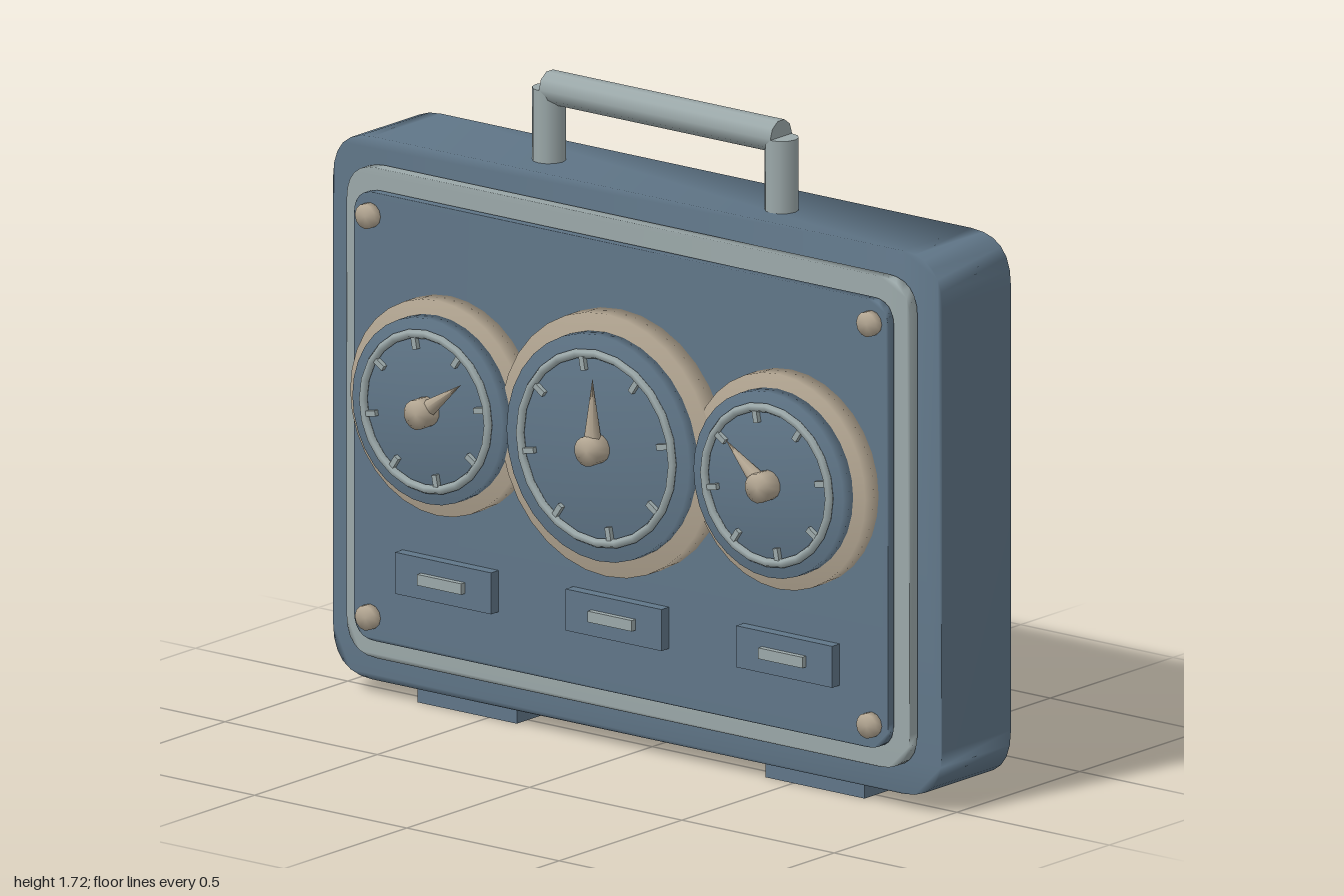
import * as THREE from 'three';
import { mergeVertices } from 'three/addons/utils/BufferGeometryUtils.js';

const material = (name, color) => {
  const m = new THREE.MeshStandardMaterial({ color });
  m.name = name;
  return m;
};

// Weld shared corners so shading rolls softly over the edges
function soften(geometry) {
  geometry.deleteAttribute('normal');
  geometry.deleteAttribute('uv');
  const welded = mergeVertices(geometry, 1e-4);
  welded.computeVertexNormals();
  return welded;
}

// Rounded slab spanning x +-w/2, y0..y1 and z0..z1
function slab(w, y0, y1, z0, z1, r) {
  const s = new THREE.Shape(), x = w / 2;
  s.moveTo(-x + r, y0);
  s.lineTo(x - r, y0);
  s.quadraticCurveTo(x, y0, x, y0 + r);
  s.lineTo(x, y1 - r);
  s.quadraticCurveTo(x, y1, x - r, y1);
  s.lineTo(-x + r, y1);
  s.quadraticCurveTo(-x, y1, -x, y1 - r);
  s.lineTo(-x, y0 + r);
  s.quadraticCurveTo(-x, y0, -x + r, y0);
  const g = new THREE.ExtrudeGeometry(s, { depth: z1 - z0, bevelEnabled: false, curveSegments: 6 });
  return soften(g.translate(0, 0, z0));
}

// Disc facing +z between z0 and z1
function disc(r, z0, z1, sides) {
  const g = new THREE.CylinderGeometry(r, r, z1 - z0, sides).rotateX(Math.PI / 2);
  return soften(g.translate(0, 0, (z0 + z1) / 2));
}

export function createModel() {
  const model = new THREE.Group();
  model.name = 'gaugeCase';
  const blue = material('slateBlue', 0x607688);
  const grey = material('paleGrey', 0x9ba8a9);
  const tan = material('warmTan', 0xb4a793);

  const add = (name, geometry, mat, x = 0, y = 0, z = 0, parent = model) => {
    const mesh = new THREE.Mesh(geometry, mat);
    mesh.name = name;
    mesh.position.set(x, y, z);
    parent.add(mesh);
    return mesh;
  };

  // Case, trim and front panel
  add('caseBody', slab(2, 0.04, 1.48, -0.22, 0.06, 0.13), blue);
  add('trimFrame', slab(1.85, 0.112, 1.413, 0.067, 0.098, 0.1), grey);
  add('frontPanel', slab(1.755, 0.167, 1.357, 0.104, 0.127, 0.07), blue);

  // Corner screws
  for (const x of [-0.823, 0.823])
    for (const y of [0.23, 1.295])
      add('panelScrew', disc(0.033, 0.125, 0.15, 12), tan, x, y);

  // Gauges: x, size, needle direction in degrees
  for (const [x, size, needleAngle] of [[-0.56, 0.82, 37], [0, 1, 90], [0.56, 0.82, 140]]) {
    const gauge = new THREE.Group();
    gauge.name = 'gauge';
    gauge.position.set(x, 0.84, 0);
    model.add(gauge);
    add('gaugeRim', disc(0.348 * size, 0.125, size === 1 ? 0.188 : 0.182, 32), tan, 0, 0, 0, gauge);
    add('dialFace', disc(0.3 * size, 0.18, 0.222, 32), blue, 0, 0, 0, gauge);
    add('dialRing', new THREE.TorusGeometry(0.25 * size, 0.012, 6, 24), grey, 0, 0, 0.228, gauge);

    // Tick marks just inside the ring
    for (let i = 0; i < 8; i++) {
      const a = THREE.MathUtils.degToRad(11 + i * 45), r = 0.228 * size;
      const tick = add('dialTick', new THREE.BoxGeometry(0.045, 0.015, 0.014), grey,
        Math.cos(a) * r, Math.sin(a) * r, 0.228, gauge);
      tick.rotation.z = a;
    }

    // Needle and hub
    const length = 0.16 * size;
    const needle = add('needle', new THREE.ConeGeometry(0.022, length, 8).translate(0, length / 2 + 0.03, 0),
      tan, 0, 0, 0.244, gauge);
    needle.rotation.z = THREE.MathUtils.degToRad(needleAngle - 90);
    add('needleHub', disc(0.039, 0.22, 0.27, 14), tan, 0, 0, 0, gauge);
  }

  // Label plates with raised bars
  for (const x of [-0.56, 0, 0.56]) {
    add('labelPlate', new THREE.BoxGeometry(0.315, 0.11, 0.034), blue, x, 0.37, 0.141);
    add('labelBar', new THREE.BoxGeometry(0.145, 0.029, 0.02), grey, x, 0.37, 0.164);
  }

  // Carry handle and back-wrapping feet
  for (const side of [-1, 1]) {
    add('handlePost', new THREE.CylinderGeometry(0.044, 0.044, 0.21, 12), grey, side * 0.382, 1.567, -0.053);
    add('foot', new THREE.BoxGeometry(0.326, 0.178, 0.315), blue, side * 0.571, 0.089, -0.1115);
  }
  const bar = new THREE.CylinderGeometry(0.044, 0.044, 0.76, 10).rotateZ(Math.PI / 2);
  add('handleBar', bar, grey, 0, 1.674, -0.053);

  return model;
}
